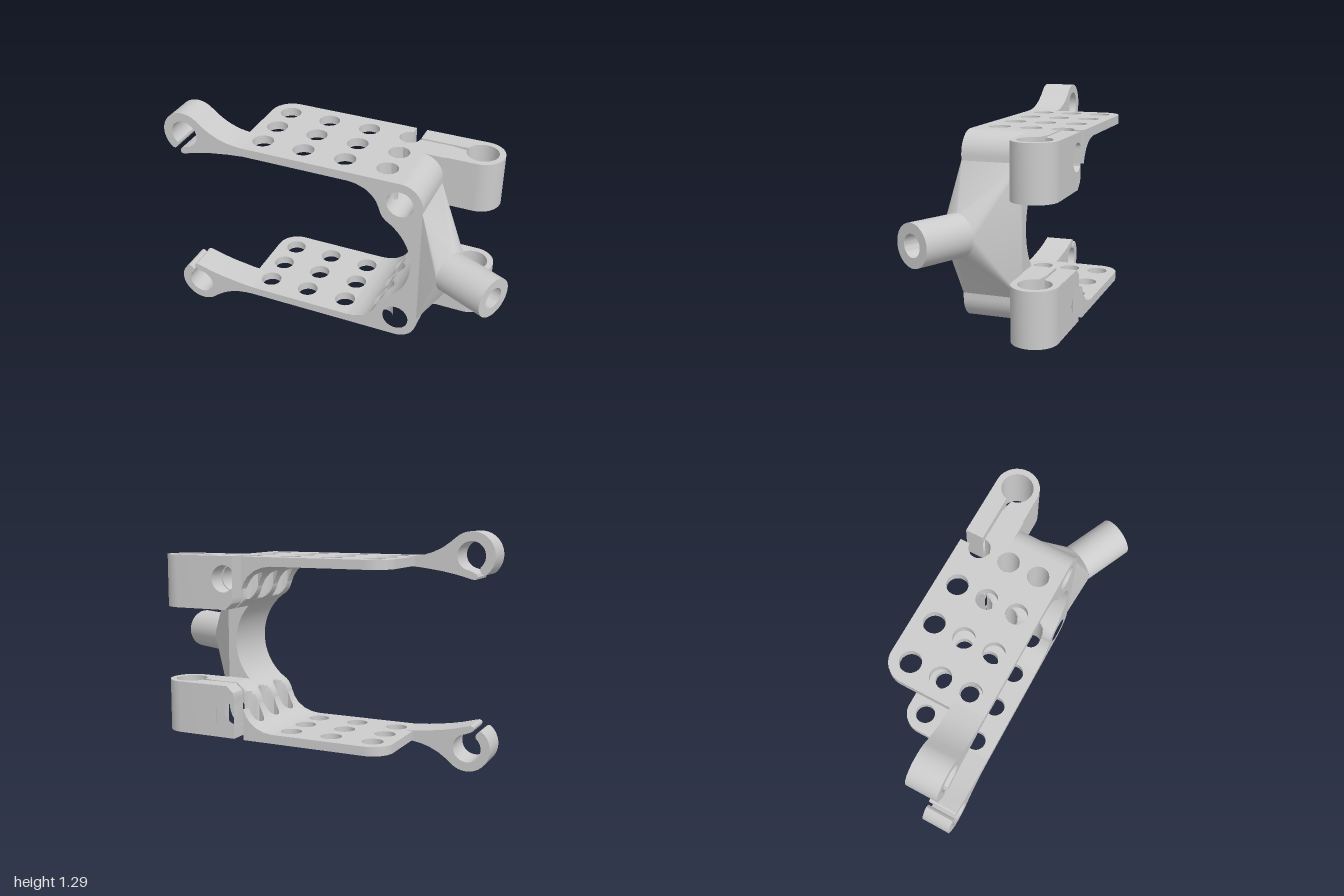
import * as THREE from 'three';
import { toCreasedNormals } from 'three/addons/utils/BufferGeometryUtils.js';

const MID = 0.645;          // height of the mirror plane
const TOP = 0.507;          // outer face, measured from the mirror plane
const BACK = -0.39, FRONT = 0.195;
const HOLE_R = 0.059, HOLE_Z = [-0.275, -0.1, 0.075], LAST_X = 0.28;
const mat = new THREE.MeshStandardMaterial({ color: 0xcccccc });

// Inner fillet between plate and yoke: [x, distance from mirror plane]
const fillet = [[0.1, 0.457], [0.15, 0.451], [0.2, 0.432], [0.24, 0.402], [0.265, 0.368],
  [0.28, 0.332], [0.289, 0.305], [0.302, 0.282], [0.321, 0.262]];

function filletAt(x) {
  for (let i = 1; i < fillet.length; i++) {
    const [a, b] = [fillet[i - 1], fillet[i]];
    if (x <= b[0]) return a[1] + (b[1] - a[1]) * (x - a[0]) / (b[0] - a[0]);
  }
  return fillet[fillet.length - 1][1];
}

// Half-width of the last column of plate holes at depth z
function holeWidth(z) {
  let w = 0;
  for (const c of HOLE_Z) w = Math.max(w, Math.sqrt(Math.max(0, HOLE_R ** 2 - (z - c) ** 2)));
  return w;
}

function arc(cx, cy, r, a0, a1, n = 24) {
  const out = [];
  for (let i = 0; i <= n; i++) {
    const a = (a0 + (a1 - a0) * i / n) * Math.PI / 180;
    out.push([cx + r * Math.cos(a), cy + r * Math.sin(a)]);
  }
  return out;
}

const vecs = (pts) => pts.map(([x, y]) => new THREE.Vector2(x, y));

function shapeOf(pts, holes = []) {
  const s = new THREE.Shape(vecs(pts));
  holes.forEach((h) => s.holes.push(new THREE.Path(vecs(h))));
  return s;
}

function addMesh(group, name, geo) {
  const m = new THREE.Mesh(toCreasedNormals(geo, 0.5), mat);
  m.name = name;
  group.add(m);
  return m;
}

// Front profile (x, v) pushed along z; the rule may shift points to cut the plate holes
function alongZ(pts, holes, side, z0, z1, rule) {
  const flip = (list) => list.map(([x, v]) => [x, MID + side * v]);
  const geo = new THREE.ExtrudeGeometry(shapeOf(flip(pts), holes.map(flip)), {
    depth: z1 - z0, bevelEnabled: false, steps: rule ? Math.ceil((z1 - z0) / 0.006) : 1 });
  geo.translate(0, 0, z0);
  if (rule) {
    const p = geo.attributes.position;
    for (let i = 0; i < p.count; i++) {
      const [x, v] = rule(p.getX(i), side * (p.getY(i) - MID), p.getZ(i));
      p.setXY(i, x, MID + side * v);
    }
  }
  return geo;
}

// Plan outline (x, z) pushed upward between two distances from the mirror plane
function alongY(pts, holes, side, v0, v1) {
  const flip = (list) => list.map(([x, z]) => [x, -z]);
  const geo = new THREE.ExtrudeGeometry(shapeOf(flip(pts), holes.map(flip)),
    { depth: v1 - v0, bevelEnabled: false });
  geo.rotateX(-Math.PI / 2);
  return geo.translate(0, MID + (side > 0 ? v0 : -v1), 0);
}

const cutLeft = (x, v, z) => {
  const lim = LAST_X - holeWidth(z);
  return x > lim ? [lim, Math.max(v, filletAt(lim))] : [x, v];
};
const cutRight = (x, v, z) =>
  [Math.max(x, z < HOLE_Z[0] ? 0.34 : LAST_X + holeWidth(z)), v];

function buildSide(side) {
  const g = new THREE.Group();
  g.name = side > 0 ? 'upperSide' : 'lowerSide';

  // Perforated plate
  const holes = [];
  for (const x of [-0.445, -0.203, 0.04])
    for (const z of HOLE_Z) holes.push(arc(x, z, HOLE_R, 0, 348, 29));
  const plate = [[-0.56, FRONT], [0.1, FRONT], [0.1, BACK], ...arc(-0.44, BACK + 0.12, 0.12, 270, 180, 10)];
  addMesh(g, 'plate', alongY(plate, holes, side, 0.457, TOP));

  // Thick root of the plate, up to the last column of holes
  const root = [...fillet.filter((p) => p[0] <= LAST_X), [LAST_X, TOP], [0.1, TOP]];
  addMesh(g, 'plateRoot', alongZ(root, [], side, BACK, FRONT, cutLeft));

  // Half of the C-shaped yoke with its corner bore
  const bore = arc(0.395, 0.382, 0.075, 0, 351, 39);
  const lip = fillet.filter((p) => p[0] >= LAST_X);
  const yoke = [[LAST_X, TOP], ...lip, ...arc(0.165, 0, 0.305, 57, 0, 20),
    [0.52, 0], ...arc(0.395, 0.382, 0.125, 0, 90, 16)];
  addMesh(g, 'yoke', alongZ(yoke, [bore], side, -0.14, FRONT, cutRight));

  // Clamp jaws either side of the slit
  const jaw = [[LAST_X, TOP], ...lip, [0.345, 0.247], [0.385, 0.212], [0.525, 0.212], [0.525, TOP]];
  addMesh(g, 'clampBackJaw', alongZ(jaw, [bore], side, BACK, -0.289, cutRight));
  addMesh(g, 'clampFrontJaw', alongZ(jaw, [bore], side, -0.275, -0.14, cutRight));

  // Split clamp ring
  const ring = [[0.525, -0.145], ...arc(0.695, -0.2675, 0.1225, 90, -90, 28), [0.525, BACK],
    [0.525, -0.289], ...arc(0.695, -0.2675, 0.088, 194, 535, 44), [0.525, -0.275]];
  addMesh(g, 'clampRing', alongY(ring, [], side, 0.212, TOP));

  // Arm ending in an open snap hook
  const hook = [[-0.515, 0.5065], [-0.56, 0.51], [-0.61, 0.518], [-0.66, 0.533], [-0.71, 0.557],
    [-0.75, 0.584], ...arc(-0.87, 0.517, 0.128, 51, 230, 32), [-0.938, 0.418], [-0.925, 0.428],
    [-0.917, 0.443], ...arc(-0.87, 0.517, 0.077, 230, -80, 40), [-0.88, 0.432], [-0.9, 0.422],
    [-0.906, 0.407], [-0.902, 0.395], [-0.89, 0.391], [-0.86, 0.398], [-0.8, 0.415],
    [-0.72, 0.432], [-0.6, 0.449], [-0.515, 0.4565]];
  addMesh(g, 'hookArm', alongZ(hook, [], side, 0.02, FRONT));
  return g;
}

// Neck blending from the yoke's outer rectangle to the round tube
function neckGeometry(base, dir, r) {
  const u = new THREE.Vector3(-dir.z, 0, dir.x);
  const corners = [[FRONT, 1], [-0.135, 1], [-0.135, -1], [FRONT, -1]]
    .map(([z, s]) => new THREE.Vector3(0.52, MID + s * 0.355, z));
  const pairs = [];
  for (let q = 0; q < 4; q++)
    for (const [c, s] of arc(0, 0, r, q * 90, q * 90 + 90, 12))
      pairs.push([corners[q], base.clone().addScaledVector(u, c).add(new THREE.Vector3(0, s, 0))]);
  const pos = [];
  const tri = (...p) => p.forEach((v) => pos.push(v.x, v.y, v.z));
  pairs.forEach(([a, b], i) => {
    const [c, d] = pairs[(i + 1) % pairs.length];
    if (b.distanceTo(d) > 1e-6) tri(a, b, d);
    if (a !== c) tri(a, d, c);
  });
  // Flip the winding if the front triangle faces inward
  const geo = new THREE.BufferGeometry();
  geo.setAttribute('position', new THREE.Float32BufferAttribute(pos, 3));
  geo.computeVertexNormals();
  const n = geo.attributes.normal, p = geo.attributes.position;
  let facing = 0;
  for (let i = 0; i < p.count; i++) facing += n.getY(i) * (p.getY(i) - MID);
  if (facing < 0) {
    for (let i = 0; i < pos.length; i += 9)
      for (let k = 0; k < 3; k++) [pos[i + 3 + k], pos[i + 6 + k]] = [pos[i + 6 + k], pos[i + 3 + k]];
    geo.setAttribute('position', new THREE.Float32BufferAttribute(pos, 3));
  }
  return geo;
}

export function createModel() {
  const model = new THREE.Group();
  model.name = 'clampBracket';
  model.add(buildSide(1), buildSide(-1));

  // Angled socket tube on its neck
  const base = new THREE.Vector3(0.68, MID, 0.148);
  const dir = new THREE.Vector3(0.907, 0, 0.421).normalize();
  addMesh(model, 'neck', neckGeometry(base, dir, 0.114));
  const profile = [[0.114, 0], [0.114, 0.295], [0.06, 0.295], [0.06, -0.05], [0, -0.05]];
  const tube = addMesh(model, 'socketTube', new THREE.LatheGeometry(vecs(profile), 48));
  tube.position.copy(base);
  tube.quaternion.setFromUnitVectors(new THREE.Vector3(0, 1, 0), dir);
  return model;
}
